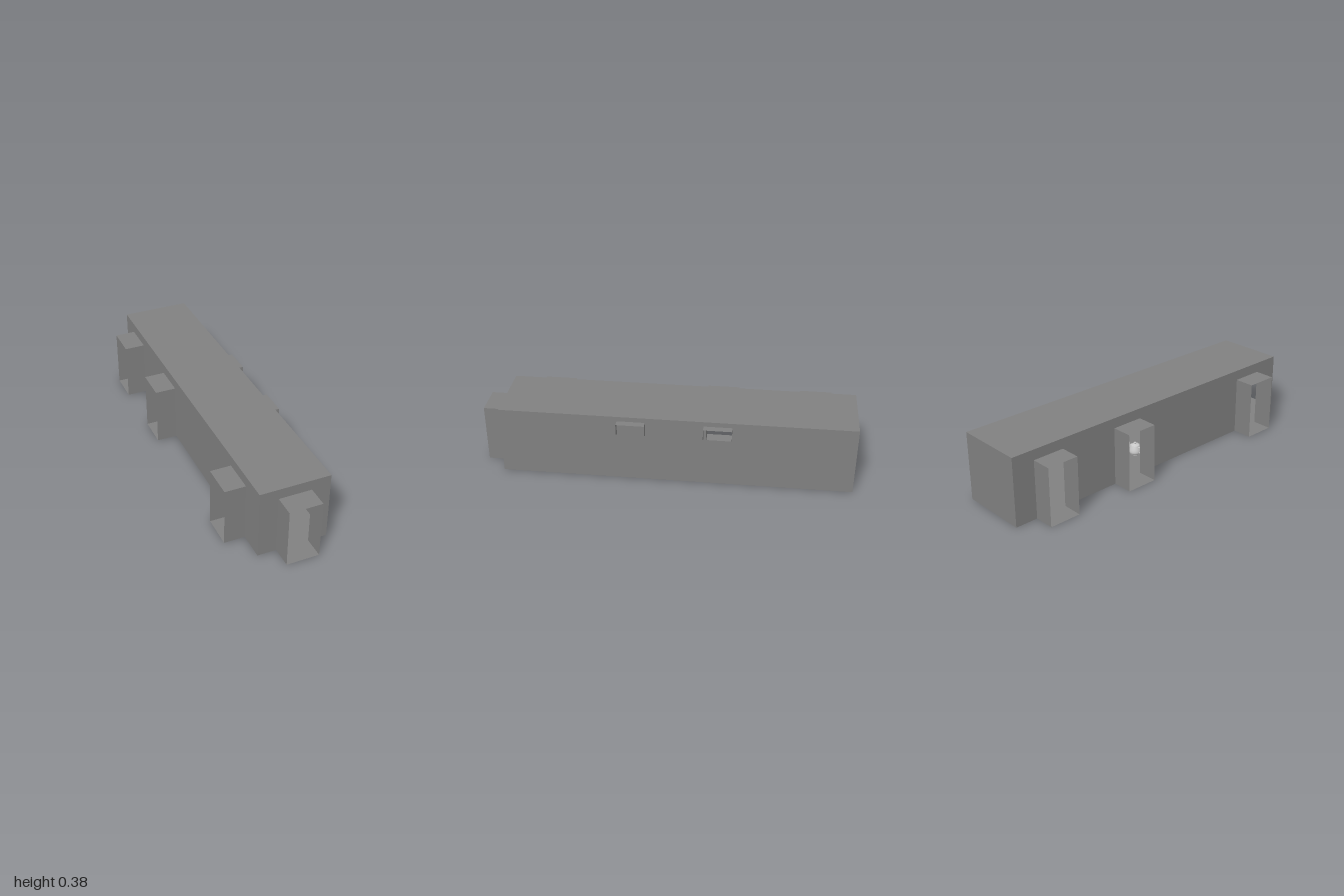
import * as THREE from 'three';

const wallMat = new THREE.MeshStandardMaterial({ color: 0x808080, side: THREE.DoubleSide, flatShading: true });
const potMat = new THREE.MeshStandardMaterial({ color: 0xcccccc, side: THREE.DoubleSide });

// Room limits
const X0 = -0.153, X1 = 0.225, H = 0.378, Z0 = -1, Z1 = 0.887;
const DOOR_H = 0.322, DOOR_W = 0.176, DEPTH = 0.112;
const WIN_W = 0.15, WIN_LOW = 0.27, WIN_LIP = 0.295, WIN_TOP = 0.352, WIN_OUT = 0.264;
const sideDoors = [-0.787, -0.277, 0.653];
const windows = [-0.277, 0.18];
const frontDoorX = 0.036;

function add(parent, name, geometry, material) {
  const mesh = new THREE.Mesh(geometry, material);
  mesh.name = name;
  parent.add(mesh);
  return mesh;
}

// Open sleeve joining two matching loops of corners
function sleeve(a, b) {
  const pos = [];
  a.forEach((p, i) => {
    const j = (i + 1) % a.length;
    pos.push(...p, ...a[j], ...b[j], ...p, ...b[j], ...b[i]);
  });
  const g = new THREE.BufferGeometry();
  g.setAttribute('position', new THREE.Float32BufferAttribute(pos, 3));
  g.computeVertexNormals();
  return g;
}

// Upright wall from u0 to u1, with door notches at the floor and window holes
function wallShape(u0, u1, doors = [], holes = []) {
  const s = new THREE.Shape();
  s.moveTo(u0, 0);
  for (const d of doors) {
    s.lineTo(d - DOOR_W / 2, 0);
    s.lineTo(d - DOOR_W / 2, DOOR_H);
    s.lineTo(d + DOOR_W / 2, DOOR_H);
    s.lineTo(d + DOOR_W / 2, 0);
  }
  s.lineTo(u1, 0);
  s.lineTo(u1, H);
  s.lineTo(u0, H);
  for (const w of holes) {
    const p = new THREE.Path();
    p.moveTo(w - WIN_W / 2, WIN_LOW);
    p.lineTo(w - WIN_W / 2, WIN_TOP);
    p.lineTo(w + WIN_W / 2, WIN_TOP);
    p.lineTo(w + WIN_W / 2, WIN_LOW);
    s.holes.push(p);
  }
  return new THREE.ShapeGeometry(s);
}

function createRoom() {
  const room = new THREE.Group();
  room.name = 'room';
  add(room, 'frontWall', wallShape(X0, X1, [frontDoorX]).translate(0, 0, Z1), wallMat);
  add(room, 'backWall', wallShape(-X1, -X0).rotateY(Math.PI).translate(0, 0, Z0), wallMat);
  // Shape u runs along +z on the right-hand (-x) wall and along -z on the other
  add(room, 'doorWall', wallShape(Z0, Z1, sideDoors).rotateY(-Math.PI / 2).translate(X0, 0, 0), wallMat);
  add(room, 'windowWall',
    wallShape(-Z1, -Z0, [], windows.map(z => -z)).rotateY(Math.PI / 2).translate(X1, 0, 0), wallMat);
  for (const [name, y, turn] of [['floor', 0, 1], ['ceiling', H, -1]]) {
    const g = new THREE.PlaneGeometry(X1 - X0, Z1 - Z0).rotateX(turn * Math.PI / 2);
    add(room, name, g.translate((X0 + X1) / 2, y, (Z0 + Z1) / 2), wallMat);
  }

  // Door passages, open at the outer end
  const h = DOOR_W / 2;
  const corners = [[-h, 0], [h, 0], [h, DOOR_H], [-h, DOOR_H]];
  const frontLoop = z => corners.map(([u, y]) => [frontDoorX + u, y, z]);
  add(room, 'frontDoorway', sleeve(frontLoop(Z1), frontLoop(1)), wallMat);
  for (const z of sideDoors) {
    const loop = x => corners.map(([u, y]) => [x, y, z + u]);
    add(room, 'sideDoorway', sleeve(loop(X0), loop(X0 - DEPTH)), wallMat);
  }

  // Window boxes with a sloping sill
  const w = WIN_W / 2;
  for (const z of windows) {
    const loop = (x, low) => [[x, low, z + w], [x, low, z - w], [x, WIN_TOP, z - w], [x, WIN_TOP, z + w]];
    add(room, 'windowBox', sleeve(loop(X1, WIN_LOW), loop(WIN_OUT, WIN_LIP)), wallMat);
  }
  return room;
}

// Tube along a path whose radius changes by a rule of t
function taperedTube(path, radiusAt) {
  const N = 24, R = 16;
  const g = new THREE.TubeGeometry(path, N, 1, R, false);
  const p = g.attributes.position, v = new THREE.Vector3();
  for (let i = 0; i <= N; i++) {
    const c = path.getPointAt(i / N);
    for (let j = 0; j <= R; j++) {
      const k = i * (R + 1) + j;
      v.fromBufferAttribute(p, k).sub(c).multiplyScalar(radiusAt(i / N)).add(c);
      p.setXYZ(k, v.x, v.y, v.z);
    }
  }
  g.computeVertexNormals();
  return g;
}

const v2 = (x, y) => new THREE.Vector2(x, y);
const v3 = (x, y) => new THREE.Vector3(x, y, 0);

function createTeapot() {
  const pot = new THREE.Group();
  pot.name = 'teapot';
  const bez = (...p) => new THREE.CubicBezierCurve(...p.map(q => v2(...q))).getPoints(10);
  const lathe = pts => new THREE.LatheGeometry(pts, 40);
  add(pot, 'potBody', lathe([
    v2(0, 0), v2(0.9, 0.01),
    ...bez([1.3, 0.04], [1.5, 0.07], [1.5, 0.1], [1.5, 0.15]),
    ...bez([1.5, 0.16], [1.5, 0.225], [2, 0.45], [2, 0.9]),
    ...bez([2, 0.95], [2, 1.35], [1.75, 1.875], [1.5, 2.4]),
    ...bez([1.48, 2.44], [1.43, 2.53], [1.34, 2.53], [1.4, 2.4]),
  ]), potMat);
  add(pot, 'potLid', lathe([
    ...bez([1.4, 2.4], [1.3, 2.55], [0.4, 2.55], [0.2, 2.7]),
    ...bez([0.2, 2.72], [0.05, 2.85], [0.8, 3.15], [0, 3.15]),
  ]), potMat);
  const handle = new THREE.CatmullRomCurve3(
    [v3(-1.55, 2.08), v3(-2.3, 2.08), v3(-2.8, 1.85), v3(-2.75, 1.3), v3(-2.4, 0.9), v3(-1.9, 0.7)]);
  add(pot, 'potHandle', taperedTube(handle, () => 0.2), potMat);
  const spout = new THREE.CubicBezierCurve3(v3(1.6, 0.95), v3(2.75, 0.95), v3(2.3, 1.95), v3(3.1, 2.42));
  add(pot, 'potSpout', taperedTube(spout, t => 0.52 - 0.3 * Math.min(1, t * 1.5) + 0.1 * t ** 6), potMat);
  pot.scale.set(0.017, 0.0232, 0.017);
  pot.position.set(0.026, 0.001, -0.06);
  return pot;
}

export function createModel() {
  const model = new THREE.Group();
  model.name = 'roomWithTeapot';
  model.add(createRoom(), createTeapot());
  return model;
}
